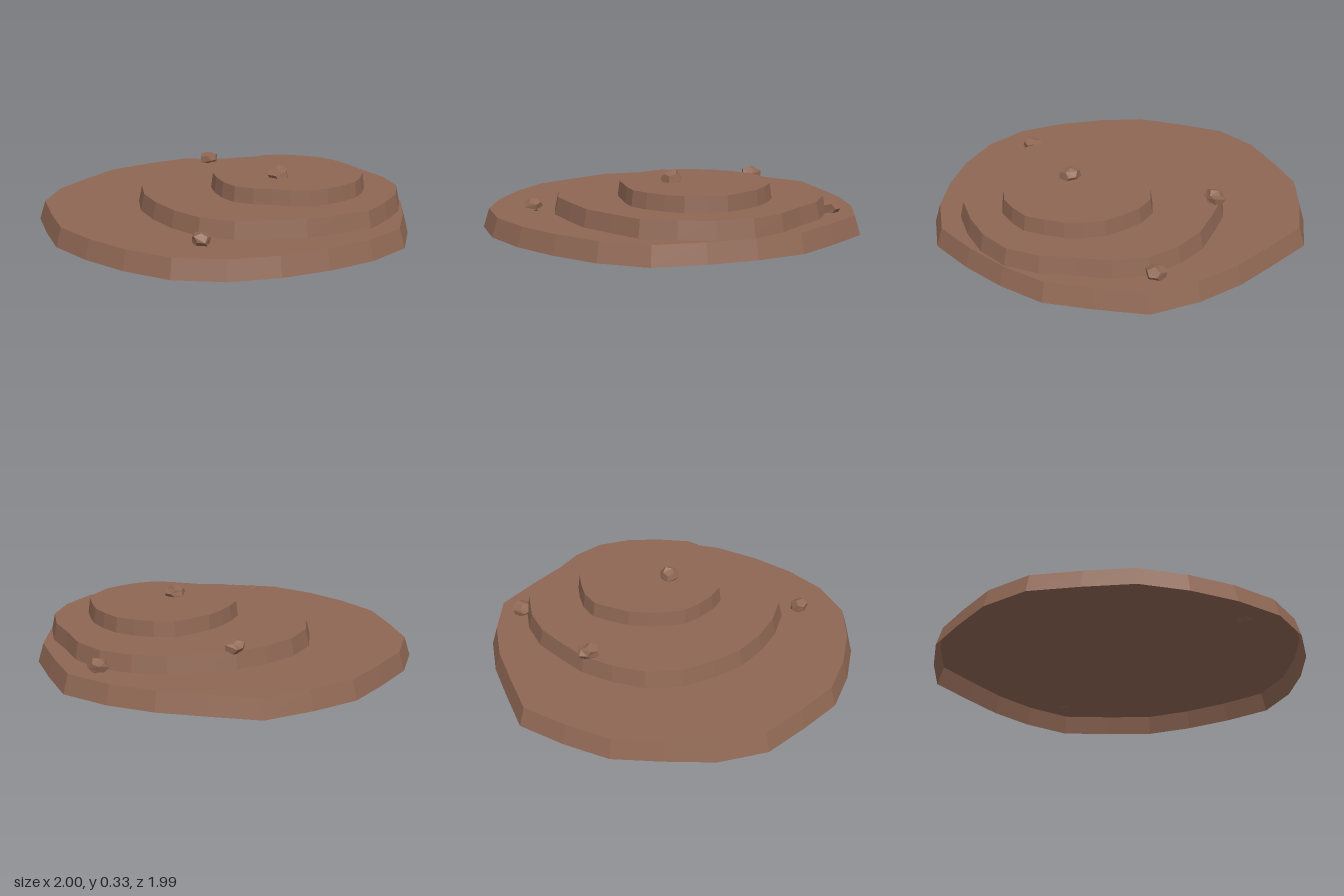
import * as THREE from 'three';

const earth = new THREE.MeshStandardMaterial({
  color: 0x8f6754, roughness: 1, flatShading: true, side: THREE.DoubleSide,
});

// Terrace: irregular ring of radii (every 15 degrees from +x towards +z), open underneath
function terrace(name, cx, cz, y0, y1, taper, radii) {
  const n = radii.length, pos = [], index = [];
  for (const [y, k] of [[y0, 1], [y1, taper]]) {
    radii.forEach((r, i) => {
      const a = (i / n) * Math.PI * 2;
      pos.push(cx + Math.cos(a) * r * k, y, cz + Math.sin(a) * r * k);
    });
  }
  pos.push(cx, y1, cz);
  for (let i = 0; i < n; i++) {
    const j = (i + 1) % n;
    index.push(i, n + i, j, j, n + i, n + j); // wall
    index.push(2 * n, n + j, n + i);          // top
  }
  const geo = new THREE.BufferGeometry();
  geo.setAttribute('position', new THREE.Float32BufferAttribute(pos, 3));
  geo.setIndex(index);
  geo.computeVertexNormals();
  const mesh = new THREE.Mesh(geo, earth);
  mesh.name = name;
  return mesh;
}

// Rock: faceted ball with corners pushed in and out by a position-based rule
function rock(name, x, y, z, r, seed) {
  const geo = new THREE.DodecahedronGeometry(r, 0);
  const p = geo.attributes.position, v = new THREE.Vector3();
  for (let i = 0; i < p.count; i++) {
    v.fromBufferAttribute(p, i);
    const d = v.clone().divideScalar(r);
    const k = 1 + 0.14 * Math.sin(d.x * 5.1 + d.y * 7.3 + d.z * 3.7 + seed);
    p.setXYZ(i, v.x * k, v.y * k * 0.78, v.z * k);
  }
  geo.computeVertexNormals();
  const mesh = new THREE.Mesh(geo, earth);
  mesh.name = name;
  mesh.position.set(x, y, z);
  mesh.rotation.y = seed;
  return mesh;
}

export function createModel() {
  const model = new THREE.Group();
  model.name = 'terracedMound';

  model.add(
    terrace('lowerTerrace', 0, 0, 0, 0.1, 0.97, [
      0.99, 1.0, 0.98, 0.99, 1.04, 1.015, 0.99, 0.995, 1.017, 1.025, 0.995, 0.985,
      1.0, 0.985, 1.025, 1.01, 0.98, 1.005, 1.0, 1.035, 0.97, 0.97, 0.995, 1.035,
    ]),
    terrace('middleTerrace', 0.19, 0.11, 0.1, 0.19, 0.973, [
      0.67, 0.7, 0.725, 0.72, 0.71, 0.72, 0.68, 0.685, 0.68, 0.715, 0.725, 0.705,
      0.695, 0.7, 0.7, 0.72, 0.715, 0.69, 0.68, 0.663, 0.685, 0.7, 0.715, 0.7,
    ]),
    terrace('upperTerrace', 0.26, 0.2, 0.19, 0.272, 0.973, [
      0.405, 0.403, 0.42, 0.41, 0.41, 0.393, 0.39, 0.39, 0.37, 0.365, 0.385, 0.41,
      0.407, 0.403, 0.41, 0.395, 0.39, 0.395, 0.4, 0.425, 0.42, 0.41, 0.415, 0.405,
    ]),
  );

  // Loose rocks scattered over the terraces
  model.add(
    rock('topRock', 0.17, 0.29, 0.25, 0.058, 0.4),
    rock('backRock', 0.18, 0.207, -0.52, 0.056, 1.7),
    rock('leftRock', 0.82, 0.122, -0.28, 0.056, 2.9),
    rock('frontRock', -0.485, 0.12, 0.59, 0.053, 4.2),
  );
  return model;
}
